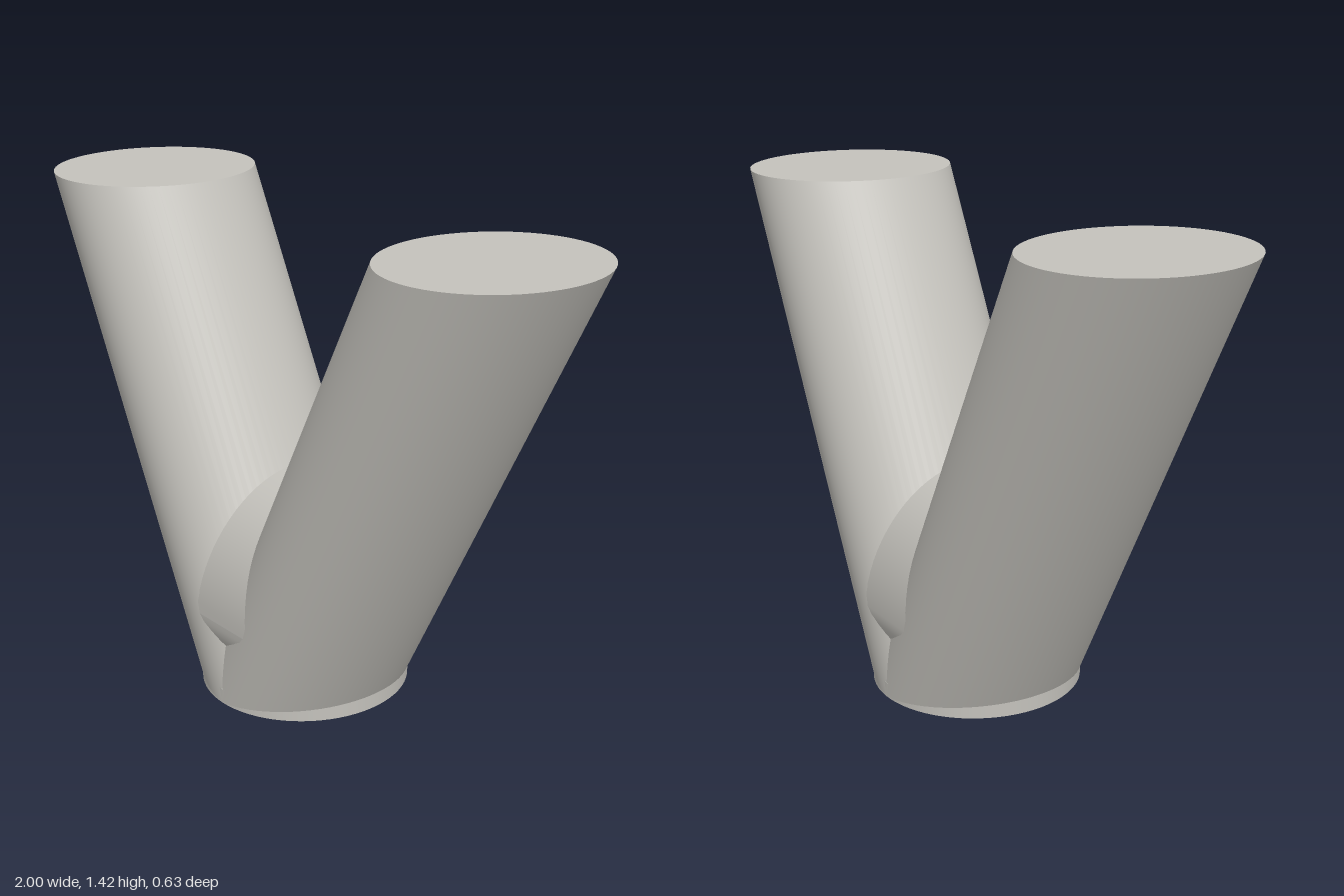
import * as THREE from 'three';

const HEIGHT = 1.425, RX = 0.28, RZ = 0.315, LEAN = 0.72 / HEIGHT;

export function createModel() {
  const model = new THREE.Group();
  model.name = 'yBranchPipe';
  const grey = new THREE.MeshStandardMaterial({ color: 0xc4c2bc });
  grey.name = 'warm grey';

  const add = (name, geometry) => {
    const mesh = new THREE.Mesh(geometry, grey);
    mesh.name = name;
    model.add(mesh);
  };

  // Leaning branches: elliptical cylinders sheared so both ends stay level
  for (const side of [1, -1]) {
    const bottom = 0.004;
    const branch = new THREE.CylinderGeometry(1, 1, HEIGHT - bottom, 72, 1);
    branch.scale(RX, 1, RZ).translate(0, (HEIGHT + bottom) / 2, 0);
    branch.applyMatrix4(new THREE.Matrix4().set(
      1, side * LEAN, 0, 0,
      0, 1, 0, 0,
      0, 0, 1, 0,
      0, 0, 0, 1));
    add(side > 0 ? 'leftBranch' : 'rightBranch', branch);
  }

  // Short upright foot where the branches meet
  const foot = new THREE.CylinderGeometry(1, 1, 0.045, 72);
  foot.scale(0.302, 1, RZ).translate(0, 0.0225, 0);
  add('foot', foot);

  // Rounded saddle filling the crotch: tall arch above, shallow curve below
  const saddle = new THREE.CylinderGeometry(1, 1, 0.24, 72, 1, true);
  saddle.rotateZ(Math.PI / 2);
  const p = saddle.attributes.position;
  for (let i = 0; i < p.count; i++) {
    const y = p.getY(i);
    p.setY(i, 0.25 + y * (y > 0 ? 0.405 : 0.22));
    p.setZ(i, p.getZ(i) * 0.314);
  }
  saddle.computeVertexNormals();
  add('crotchSaddle', saddle);

  return model;
}
